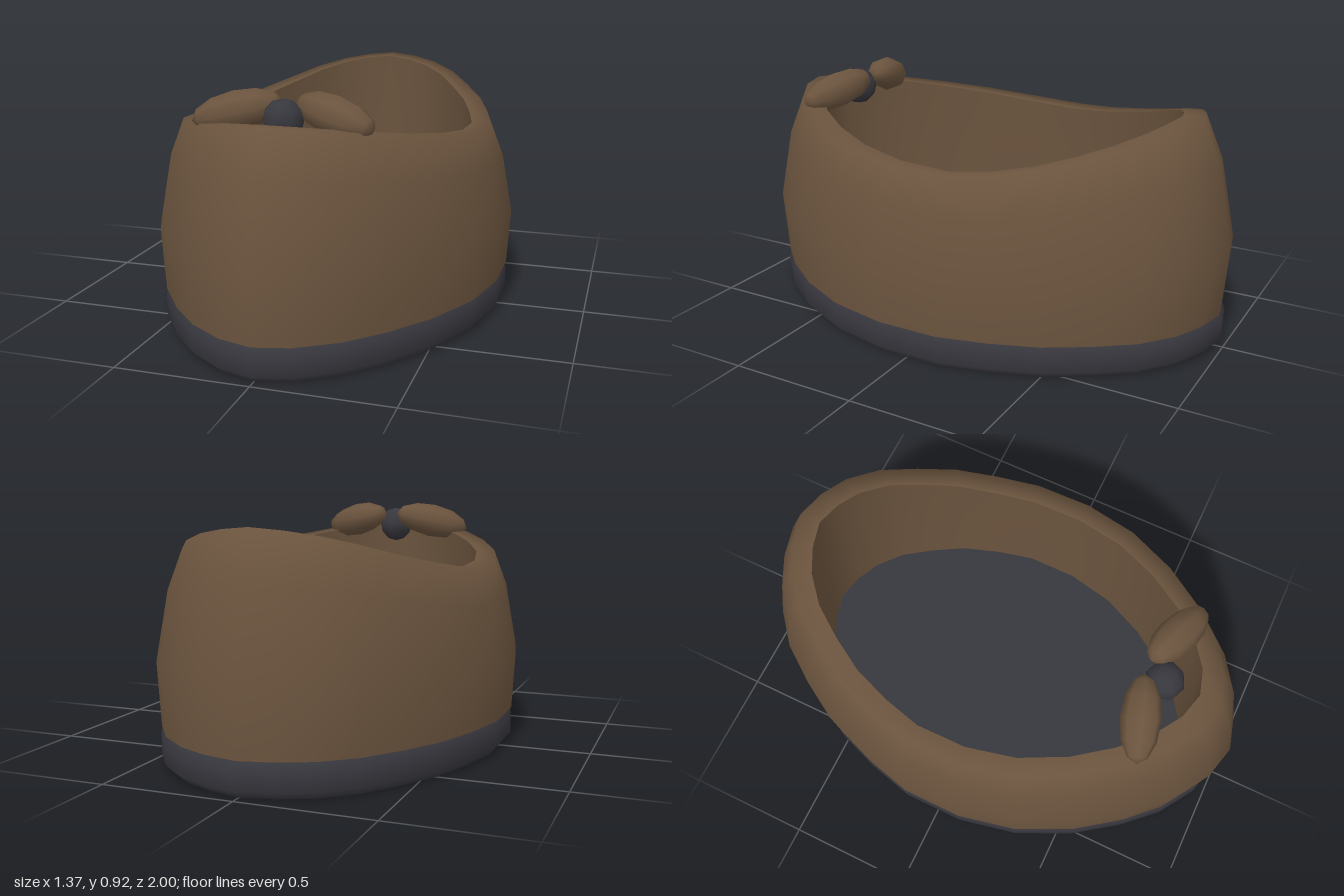
import * as THREE from 'three';

// Half of the egg-shaped footprint, heel (-z) to toe (+z), as [x, z]
const HALF = [
  [0, -1], [0.132, -0.97], [0.253, -0.915], [0.375, -0.815], [0.476, -0.677],
  [0.57, -0.52], [0.635, -0.34], [0.683, -0.148], [0.683, 0.106], [0.63, 0.35],
  [0.524, 0.57], [0.397, 0.745], [0.275, 0.872], [0.132, 0.965], [0, 1],
];
const OUTLINE = [...HALF, ...HALF.slice(1, -1).reverse().map(([x, z]) => [-x, z])];

const BASE = 0.13;

// Height of the opening's edge: low at the sides, rising to toe and heel
function rimHeight(z) {
  return z > -0.12
    ? 0.71 + 0.13 * Math.pow((z + 0.12) / 1.12, 1.6)
    : 0.71 + 0.17 * Math.pow((-z - 0.12) / 0.88, 1.8);
}

// Skin rings of [scaleX, scaleZ, level]; a repeated ring makes a sharp edge
function loft(rings, heightAt) {
  const n = OUTLINE.length;
  const pos = [], index = [];
  for (const [sx, sz, level] of rings) {
    for (const [x, z] of OUTLINE) pos.push(x * sx, heightAt(level, z), z * sz);
  }
  for (let j = 0; j < rings.length - 1; j++) {
    for (let i = 0; i < n; i++) {
      const a = j * n + i, b = j * n + (i + 1) % n;
      const c = a + n, d = b + n;
      index.push(a, c, b, b, c, d);
    }
  }
  const g = new THREE.BufferGeometry();
  g.setAttribute('position', new THREE.Float32BufferAttribute(pos, 3));
  g.setIndex(index);
  g.computeVertexNormals();
  return g;
}

export function createModel() {
  const brown = new THREE.MeshStandardMaterial({ color: 0x6b543e });
  brown.name = 'brown leather';
  const dark = new THREE.MeshStandardMaterial({ color: 0x37373e });
  dark.name = 'dark rubber';

  const shoe = new THREE.Group();
  shoe.name = 'slipper';
  const add = (name, geometry, material, parent = shoe) => {
    const mesh = new THREE.Mesh(geometry, material);
    mesh.name = name;
    parent.add(mesh);
    return mesh;
  };

  // Sole with bevelled edges; its top is the insole
  add('sole', loft([
    [0, 0, 0], [0.945, 0.957, 0], [0.945, 0.957, 0],
    [0.98, 0.99, 0.03], [0.98, 0.99, 0.1],
    [0.95, 0.965, BASE], [0.95, 0.965, BASE], [0, 0, BASE],
  ], (level) => level), dark);

  // Upper: outer wall, rolled rim and inner wall
  add('upper', loft([
    [0.9, 0.92, 0], [0.982, 0.98, 0], [0.982, 0.98, 0],
    [1, 1, 0.37], [0.938, 0.938, 0.77], [0.862, 0.865, 1],
    [0.755, 0.785, 0.99], [0.755, 0.785, 0.99],
    [0.77, 0.8, 0.6], [0.78, 0.81, 0],
  ], (level, z) => BASE + level * (rimHeight(z) - BASE)), brown);

  // Bow on the toe: two tilted loops and a knot
  const bow = new THREE.Group();
  bow.name = 'bow';
  shoe.add(bow);
  for (const side of [-1, 1]) {
    const loop = add(side > 0 ? 'leftBowLoop' : 'rightBowLoop',
      new THREE.SphereGeometry(1, 8, 6).rotateZ(Math.PI / 2), brown, bow);
    loop.scale.set(0.162, 0.072, 0.075);
    loop.position.set(side * 0.178, 0.845, 0.625);
    loop.rotation.set(0, -side * 0.33, -side * 0.22);
  }
  add('bowKnot', new THREE.SphereGeometry(0.075, 8, 6), dark, bow)
    .position.set(0, 0.825, 0.648);

  return shoe;
}
